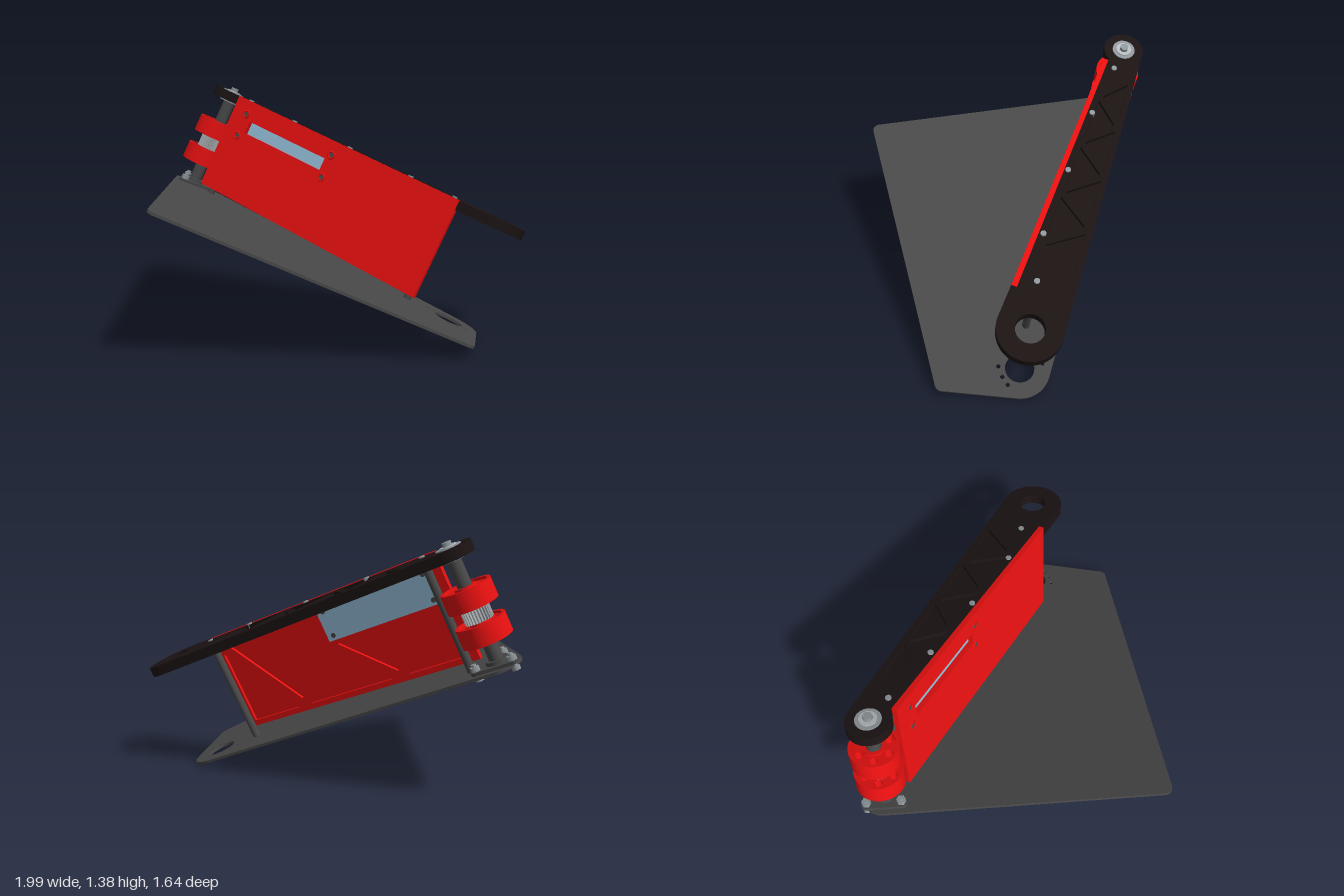
import * as THREE from 'three';

const RED = 0xe81010, BLACK = 0x1c1313, DARK = 0x484848, STEEL = 0x8f979c, BLUE = 0x92bbd6;
const TILT = Math.atan2(0.79, 1.71);   // slope of the whole assembly
const LUG = [0.48, 0.235, 0.172];      // x, z, radius of the large end
const AXLE = [-1.13, -0.69, 0.115];    // x, z, radius of the roller end

function add(parent, name, geometry, color) {
  const mesh = new THREE.Mesh(geometry, new THREE.MeshStandardMaterial({ color }));
  mesh.name = name;
  parent.add(mesh);
  return mesh;
}

// Upright cylinder between two heights
function post(parent, name, x, z, r, y0, y1, color, sides = 24) {
  const m = add(parent, name, new THREE.CylinderGeometry(r, r, y1 - y0, sides), color);
  m.position.set(x, (y0 + y1) / 2, z);
  return m;
}

const circle = (x, z, r) => new THREE.Path().absarc(x, -z, r, 0, Math.PI * 2, true);
const polygon = pts => new THREE.Path(pts.map(([x, y]) => new THREE.Vector2(x, y)));

// Horizontal slab from an outline drawn in (x, -z)
function slab(shape, y0, y1) {
  const g = new THREE.ExtrudeGeometry(shape, { depth: y1 - y0, bevelEnabled: false, curveSegments: 32 });
  return g.rotateX(-Math.PI / 2).translate(0, y0, 0);
}

// Angle of the outer tangent's normal between two circles, counter-clockwise
function tangent(a, b) {
  const dx = b[0] - a[0], dy = a[1] - b[1];
  return Math.atan2(dy, dx) - Math.acos((a[2] - b[2]) / Math.hypot(dx, dy));
}

// Outline stretched around a ring of circles
function hull(circles) {
  const shape = new THREE.Shape(), n = circles.length;
  circles.forEach((c, i) => {
    const start = tangent(circles[(i + n - 1) % n], c), end = tangent(c, circles[(i + 1) % n]);
    shape.absarc(c[0], -c[1], c[2], start, end, false);
  });
  shape.closePath();
  return shape;
}

// Pull a polygon's corners towards its centre to leave ribs between pockets
function shrink(pts, k) {
  const cx = pts.reduce((s, p) => s + p[0], 0) / pts.length;
  const cy = pts.reduce((s, p) => s + p[1], 0) / pts.length;
  return pts.map(([x, y]) => [cx + (x - cx) * k, cy + (y - cy) * k]);
}

function basePlate(root) {
  const shape = hull([[-1.2, 0.775, 0.043], [0.485, 0.67, 0.043], LUG, AXLE]);
  shape.holes.push(circle(LUG[0], LUG[1], 0.082));
  for (const [x, z] of [[0.447, 0.35], [0.51, 0.34], [0.56, 0.32], [0.372, 0.143], [0.42, 0.125], [0.477, 0.104]])
    shape.holes.push(circle(x, z, 0.012));
  add(root, 'basePlate', slab(shape, 0.3, 0.315), DARK);
}

function topArm(root) {
  const outline = () => {
    const s = new THREE.Shape();
    s.moveTo(-1.071, 0.58);          // notch that seats the side panel
    s.lineTo(0.25, -0.255);
    s.lineTo(0.234, -0.28);
    s.absarc(LUG[0], -LUG[1], LUG[2], tangent(AXLE, LUG), tangent(LUG, AXLE), false);
    s.absarc(AXLE[0], -AXLE[1], AXLE[2], tangent(LUG, AXLE), Math.PI * 2 - 1.08, false);
    s.closePath();
    s.holes.push(circle(LUG[0], LUG[1], 0.077));
    return s;
  };
  // Triangular pockets zigzag along the top face
  const pocketed = outline(), N = 8;
  const at = i => {
    const s = 0.2 + i * 1.36 / N;
    const t = i % 2 ? 0.035 + 0.047 * s : -(0.092 + 0.034 * s);
    return [AXLE[0] + 0.868 * s - 0.496 * t, -(AXLE[1] + 0.496 * s + 0.868 * t)];
  };
  for (let i = 0; i + 2 <= N; i++) pocketed.holes.push(polygon(shrink([at(i), at(i + 1), at(i + 2)], 0.78)));
  const arm = new THREE.Group();
  arm.name = 'topArm';
  root.add(arm);
  add(arm, 'armFloor', slab(outline(), 0.888, 0.922), BLACK);
  add(arm, 'armRibs', slab(pocketed, 0.922, 0.944), BLACK);

  for (const [x, z] of [[-1.005, -0.597], [-0.72, -0.39], [-0.375, -0.165], [-0.02, 0.055], [0.238, 0.147]])
    post(arm, 'armScrew', x, z, 0.016, 0.92, 0.952, STEEL, 12);
}

function sidePanel(root) {
  const panel = new THREE.Group(), L = 1.563, C = 0.8455;
  panel.name = 'sidePanel';
  panel.position.set(-1.087, 0, -0.555);
  panel.rotation.y = -Math.atan2(0.835, 1.322);
  root.add(panel);

  const rect = (x0, y0, x1, y1) => [[x0, y0], [x1, y0], [x1, y1], [x0, y1]];
  const sheet = (name, holes, z0, z1) => {
    const s = new THREE.Shape(rect(0, 0.353, L, 0.945).map(p => new THREE.Vector2(...p)));
    s.holes.push(...holes.map(polygon));
    const g = new THREE.ExtrudeGeometry(s, { depth: z1 - z0, bevelEnabled: false });
    add(panel, name, g.translate(0, 0, z0), RED);
  };
  const window_ = rect(0.122 / C, 0.753, 0.602 / C, 0.829);
  sheet('panelSkin', [window_], -0.014, 0);
  // Truss ribs on the back
  sheet('panelRibs', [
    window_,
    [[0.04, 0.385], [0.42, 0.385], [0.04, 0.645]],
    [[0.11, 0.665], [0.47, 0.42], [0.75, 0.665]],
    [[0.52, 0.385], [1.09, 0.385], [0.79, 0.63]],
    [[0.83, 0.67], [1.13, 0.43], [1.46, 0.86], [0.83, 0.86]],
    [[1.18, 0.385], [1.525, 0.385], [1.525, 0.83]],
  ], -0.03, -0.014);

  const screen = add(panel, 'displayPlate', new THREE.BoxGeometry(0.72, 0.195, 0.012), BLUE);
  screen.position.set(0.424, 0.789, -0.036);
  for (const x of [0.1, 0.742]) for (const y of [0.72, 0.862]) {
    const collar = add(panel, 'screwCollar', new THREE.TorusGeometry(0.02, 0.006, 8, 20), RED);
    collar.position.set(x, y, 0);
    const screw = add(panel, 'displayScrew', new THREE.CylinderGeometry(0.014, 0.014, 0.05, 12), DARK);
    screw.rotation.x = Math.PI / 2;
    screw.position.set(x, y, -0.022);
  }
}

function rollerUnit(root) {
  const unit = new THREE.Group();
  unit.name = 'rollerUnit';
  unit.position.set(AXLE[0], 0, AXLE[1]);
  root.add(unit);
  post(unit, 'shaft', 0, 0, 0.037, 0.28, 0.945, DARK, 32);

  // Rollers: rim, recessed web with lightening holes, hub
  const ring = (r, hole) => {
    const s = new THREE.Shape().absarc(0, 0, r, 0, Math.PI * 2, false);
    s.holes.push(circle(0, 0, hole));
    return s;
  };
  for (const y of [0.453, 0.637]) {
    const roller = new THREE.Group();
    roller.name = 'roller';
    roller.position.y = y;
    unit.add(roller);
    add(roller, 'rollerRim', slab(ring(0.13, 0.112), 0, 0.104), RED);
    add(roller, 'rollerHub', slab(ring(0.056, 0.036), 0, 0.104), RED);
    const web = ring(0.113, 0.05);
    for (let i = 0; i < 6; i++) {
      const a = i * Math.PI / 3;
      web.holes.push(circle(0.085 * Math.cos(a), 0.085 * Math.sin(a), 0.022));
    }
    add(roller, 'rollerWeb', slab(web, 0.014, 0.09), RED);
  }

  // Toothed pulley between the rollers
  const teeth = new THREE.Shape(), T = 28;
  for (let i = 0; i < T * 4; i++) {
    const a = i / (T * 4) * Math.PI * 2, r = i % 4 < 2 ? 0.074 : 0.064;
    teeth[i ? 'lineTo' : 'moveTo'](r * Math.cos(a), r * Math.sin(a));
  }
  add(unit, 'pulley', slab(teeth, 0.557, 0.637), 0xa8adb0);

  // Upper bearing and shaft bolt
  post(unit, 'bearingOuter', 0, 0, 0.066, 0.88, 0.949, STEEL, 32);
  post(unit, 'bearingInner', 0, 0, 0.045, 0.94, 0.954, 0xb4babd, 32);
  post(unit, 'shaftBolt', 0, 0, 0.026, 0.95, 0.974, STEEL, 6);

  // Three-bolt flange on the base plate
  const spots = [0, 1, 2].map(i => [0.115 * Math.cos(i * 2.0944), -0.105 * Math.sin(i * 2.0944), 0.03]);
  add(unit, 'flange', slab(hull(spots), 0.315, 0.332), DARK);
  post(unit, 'flangeBoss', 0, 0, 0.06, 0.315, 0.35, DARK, 32);
  for (const [x, z] of spots) {
    post(unit, 'flangeNut', x, z, 0.025, 0.332, 0.356, STEEL, 6);
    post(unit, 'flangeBolt', x, z, 0.013, 0.285, 0.368, STEEL, 12);
    post(unit, 'flangeBoltHead', x, z, 0.022, 0.28, 0.3, STEEL, 16);
  }
}

export function createModel() {
  const model = new THREE.Group();
  model.name = 'rollerArmAssembly';
  const root = new THREE.Group();
  root.name = 'tiltedAssembly';
  root.rotation.z = -TILT;
  model.add(root);

  basePlate(root);
  topArm(root);
  sidePanel(root);
  rollerUnit(root);
  // Standoffs joining plate and arm
  for (const [x, z] of [[0.238, 0.147], [-1.005, -0.597]]) {
    post(root, 'standoff', x, z, 0.022, 0.315, 0.888, DARK);
    post(root, 'standoffScrew', x, z, 0.016, 0.285, 0.3, STEEL, 12);
  }
  return model;
}
